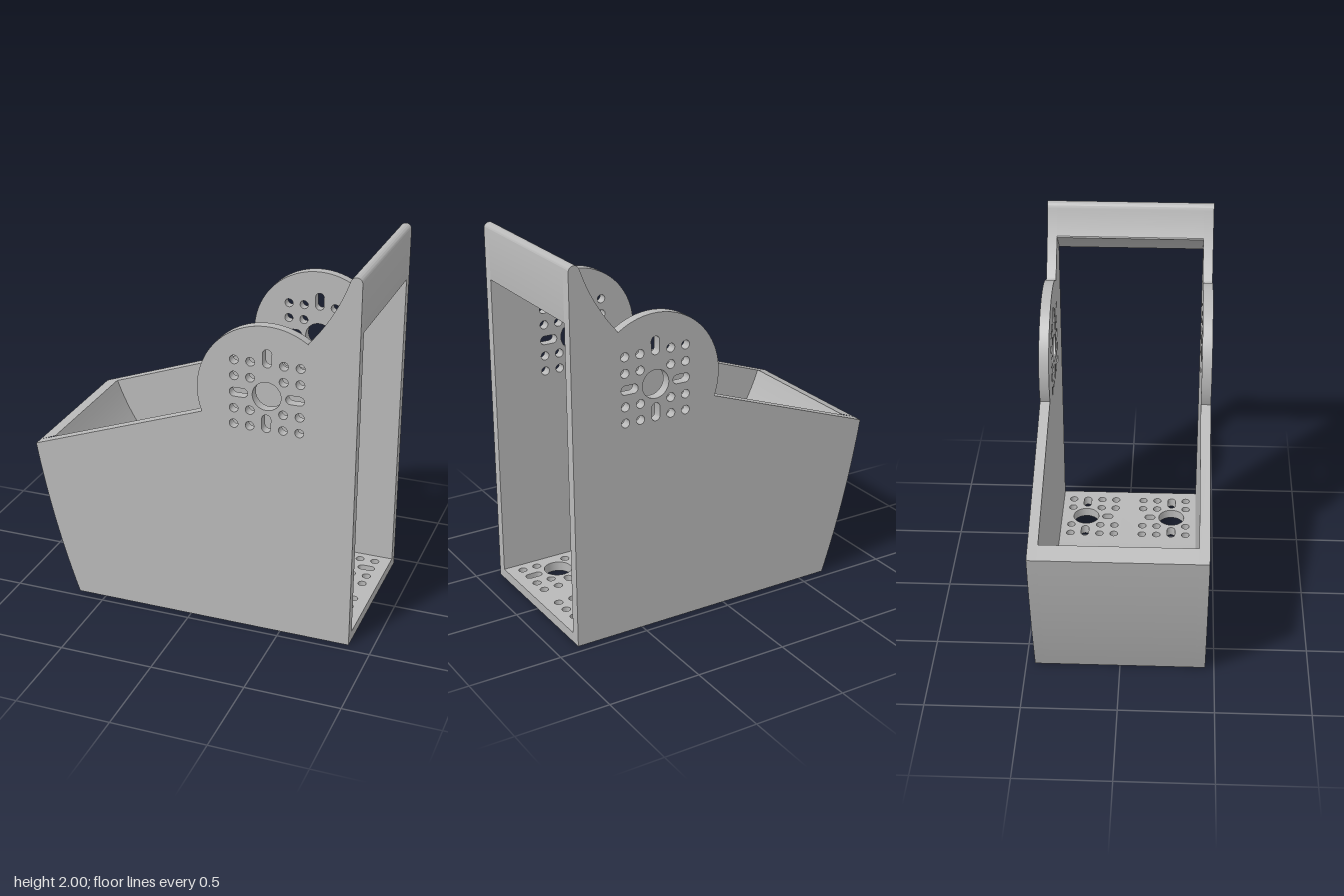
import * as THREE from 'three';
import { toCreasedNormals } from 'three/addons/utils/BufferGeometryUtils.js';

const HALF = 0.453, INNER = 0.4;            // outer and inner half width
const HUB = new THREE.Vector2(0.41, 1.33);  // centre of the round side lobes
const FLOOR_R = 1.277, FLOOR_Y = 0.053, LIP_X = -0.79, BACK_X = 0.875;

// Circle or slot outline; lx and ly stretch the circle into a slot
function outline(cx, cy, r, lx = 0, ly = 0, n = 24) {
  const pts = [];
  for (let i = 0; i < n; i++) {
    const a = ((i + 0.5) / n) * Math.PI * 2, c = Math.cos(a), s = Math.sin(a);
    pts.push(new THREE.Vector2(cx + r * c + Math.sign(c) * lx, cy + r * s + Math.sign(s) * ly));
  }
  return pts;
}

function shapeWithHoles(points, holes = []) {
  const shape = new THREE.Shape(points);
  shape.holes = holes.map((h) => new THREE.Path(h));
  return shape;
}

function soup(positions) {
  const g = new THREE.BufferGeometry();
  g.setAttribute('position', new THREE.Float32BufferAttribute(positions, 3));
  return toCreasedNormals(g, 0.45);
}

// Curved inner floor: an arc around the hub, flat behind it
const floorHeight = (x) => x >= HUB.x ? FLOOR_Y
  : HUB.y - Math.sqrt(FLOOR_R ** 2 - (x - HUB.x) ** 2);

// Cut triangles along x = c so that they can follow a curve
function slice(tris, c) {
  const out = [];
  for (const t of tris) {
    for (const side of [-1, 1]) {
      const poly = [];
      t.forEach((p, i) => {
        const q = t[(i + 1) % 3], dp = (p.x - c) * side, dq = (q.x - c) * side;
        if (dp >= 0) poly.push(p);
        if (dp * dq < 0) poly.push(p.clone().lerp(q, dp / (dp - dq)));
      });
      for (let i = 1; i + 1 < poly.length; i++) {
        const tri = [poly[0], poly[i], poly[i + 1]];
        if (Math.abs(THREE.ShapeUtils.area(tri)) > 1e-9) out.push(tri);
      }
    }
  }
  return out;
}

// Horizontal surface over a plan shape, raised by height(x)
function sheet(shape, height, cuts = [], down = false) {
  const g = new THREE.ShapeGeometry(shape).toNonIndexed(), p = g.attributes.position;
  let tris = [];
  for (let i = 0; i < p.count; i += 3) {
    tris.push([0, 1, 2].map((k) => new THREE.Vector2(p.getX(i + k), p.getY(i + k))));
  }
  for (const c of cuts) tris = slice(tris, c);
  const out = [];
  for (const t of tris) for (const v of down ? [...t].reverse() : t) out.push(v.x, height(v.x), -v.y);
  return soup(out);
}

// Inward facing wall of a vertical hole
function holeWall(pts, bottom, top) {
  const out = [];
  pts.forEach((p, i) => {
    const q = pts[(i + 1) % pts.length];
    const pb = [p.x, bottom, -p.y], qb = [q.x, bottom, -q.y];
    const pt = [p.x, top(p.x), -p.y], qt = [q.x, top(q.x), -q.y];
    out.push(...pb, ...qt, ...qb, ...pb, ...pt, ...qt);
  });
  return soup(out);
}

// Strip across the inner width along a counter-clockwise profile
function ribbon(pts) {
  const out = [], w = INNER;
  for (let i = 0; i + 1 < pts.length; i++) {
    const p = pts[i], q = pts[i + 1];
    const a = [p.x, p.y, w], b = [q.x, q.y, w], c = [q.x, q.y, -w], d = [p.x, p.y, -w];
    out.push(...a, ...c, ...b, ...a, ...d, ...c);
  }
  return soup(out);
}

function extrude(shape, z0, z1) {
  const g = new THREE.ExtrudeGeometry(shape, { depth: z1 - z0, bevelEnabled: false });
  g.translate(0, 0, z0);
  return toCreasedNormals(g, 0.45);
}

// Outer front curve, from lip to base
const frontCurve = new THREE.QuadraticBezierCurve(
  new THREE.Vector2(-0.877, 0.86), new THREE.Vector2(-0.8, 0.41), new THREE.Vector2(-0.655, 0)).getPoints(16);

// Side outline, counter-clockwise from the base
function sideOutline() {
  const s = new THREE.Shape();
  s.moveTo(-0.655, 0);
  s.lineTo(BACK_X, 0);
  s.lineTo(BACK_X, 1.97);
  s.absarc(0.845, 1.97, 0.03, 0, 2.8, false);
  s.quadraticCurveTo(0.752, 1.79, 0.62, 1.64);
  s.absarc(HUB.x, HUB.y, 0.367, 0.97, Math.PI + 0.37, false);
  const pts = s.getPoints(40);
  return pts.concat(frontCurve.slice(0, -1));
}

export function createModel() {
  const model = new THREE.Group();
  const grey = new THREE.MeshStandardMaterial({ color: 0xb8b8b8 });
  grey.name = 'plain grey';
  const add = (name, geometry, parent = model) => {
    const m = new THREE.Mesh(geometry, grey);
    m.name = name;
    parent.add(m);
  };
  const steps = [-0.172, -0.087, 0.087, 0.172];

  // Side walls with the mounting pattern around the hub
  const side = sideOutline();
  const sideHoles = [
    outline(HUB.x, HUB.y, 0.075, 0, 0, 48),
    outline(HUB.x - 0.147, HUB.y, 0.024, 0.024, 0),
    outline(HUB.x + 0.147, HUB.y, 0.024, 0.024, 0),
    outline(HUB.x, HUB.y + 0.2, 0.024, 0, 0.024),
    outline(HUB.x, HUB.y - 0.147, 0.024, 0, 0.024),
  ];
  for (const dx of steps) for (const dy of steps) sideHoles.push(outline(HUB.x + dx, HUB.y + dy, 0.023));
  const sideShape = shapeWithHoles(side, sideHoles);
  add('leftWall', extrude(sideShape, INNER, HALF));
  add('rightWall', extrude(sideShape, -HALF, -INNER));

  // Top bridge, hollowed underneath by an arc around the hub
  const clearance = 0.602;
  const bridge = side.filter((p) => p.y > 1.7 && p.distanceTo(HUB) > clearance);
  const a1 = Math.acos((BACK_X - HUB.x) / clearance);
  for (let i = 0; i <= 12; i++) {
    const a = 0.98 + (a1 - 0.98) * (i / 12);
    bridge.push(new THREE.Vector2(HUB.x + clearance * Math.cos(a), HUB.y + clearance * Math.sin(a)));
  }
  add('topBridge', extrude(shapeWithHoles(bridge), -INNER, INNER));

  // Floor hole patterns: two at the front, two at the back
  const through = [], bores = [];
  for (const cx of [-0.4, 0.62]) {
    for (const s of [-1, 1]) {
      const cz = s * 0.255;
      through.push(outline(cx, cz, 0.075, 0, 0, 48));
      for (const dx of [-0.147, 0.147]) through.push(outline(cx + dx, cz, 0.023, 0.024, 0));
      through.push(outline(cx, cz - s * 0.128, 0.023, 0, 0.008));
      for (const dx of steps) {
        for (const dz of [-0.172, -0.087, 0.085]) {
          const x = cx + dx, z = cz + s * dz;
          if (cx < 0 && dz > 0 && Math.abs(dx) > 0.1) bores.push([x, z]);
          else through.push(outline(x, z, 0.023));
        }
      }
    }
  }
  const wide = bores.map(([x, z]) => outline(x, z, 0.054, 0, 0, 32));
  const narrow = bores.map(([x, z]) => outline(x, z, 0.023));
  const plan = (x0) => [[x0, -INNER], [BACK_X, -INNER], [BACK_X, INNER], [x0, INNER]]
    .map(([x, y]) => new THREE.Vector2(x, y));

  // Curved floor, flat underside and hole walls
  const cuts = [];
  for (let i = 0; i < 26; i++) cuts.push(HUB.x - FLOOR_R * Math.sin((i / 26) * 1.222));
  add('curvedFloor', sheet(shapeWithHoles(plan(LIP_X), [...through, ...wide]), floorHeight, cuts));
  add('underside', sheet(shapeWithHoles(plan(-0.655), [...through, ...narrow]), () => 0, [], true));
  const holes = new THREE.Group();
  holes.name = 'floorHoles';
  model.add(holes);
  for (const h of through) add('holeWall', holeWall(h, 0, floorHeight), holes);
  const seat = () => FLOOR_Y;
  bores.forEach((_, i) => {
    add('counterboreWall', holeWall(wide[i], FLOOR_Y, floorHeight), holes);
    add('counterboreSeat', sheet(shapeWithHoles(wide[i], [narrow[i]]), seat), holes);
    add('screwHoleWall', holeWall(narrow[i], 0, seat), holes);
  });

  // Front wall with its lip, and the back edge of the floor
  add('frontLip', ribbon([new THREE.Vector2(LIP_X, floorHeight(LIP_X)), frontCurve[0]]));
  add('frontWall', ribbon(frontCurve));
  add('backEdge', ribbon([new THREE.Vector2(BACK_X, 0), new THREE.Vector2(BACK_X, FLOOR_Y)]));
  return model;
}
